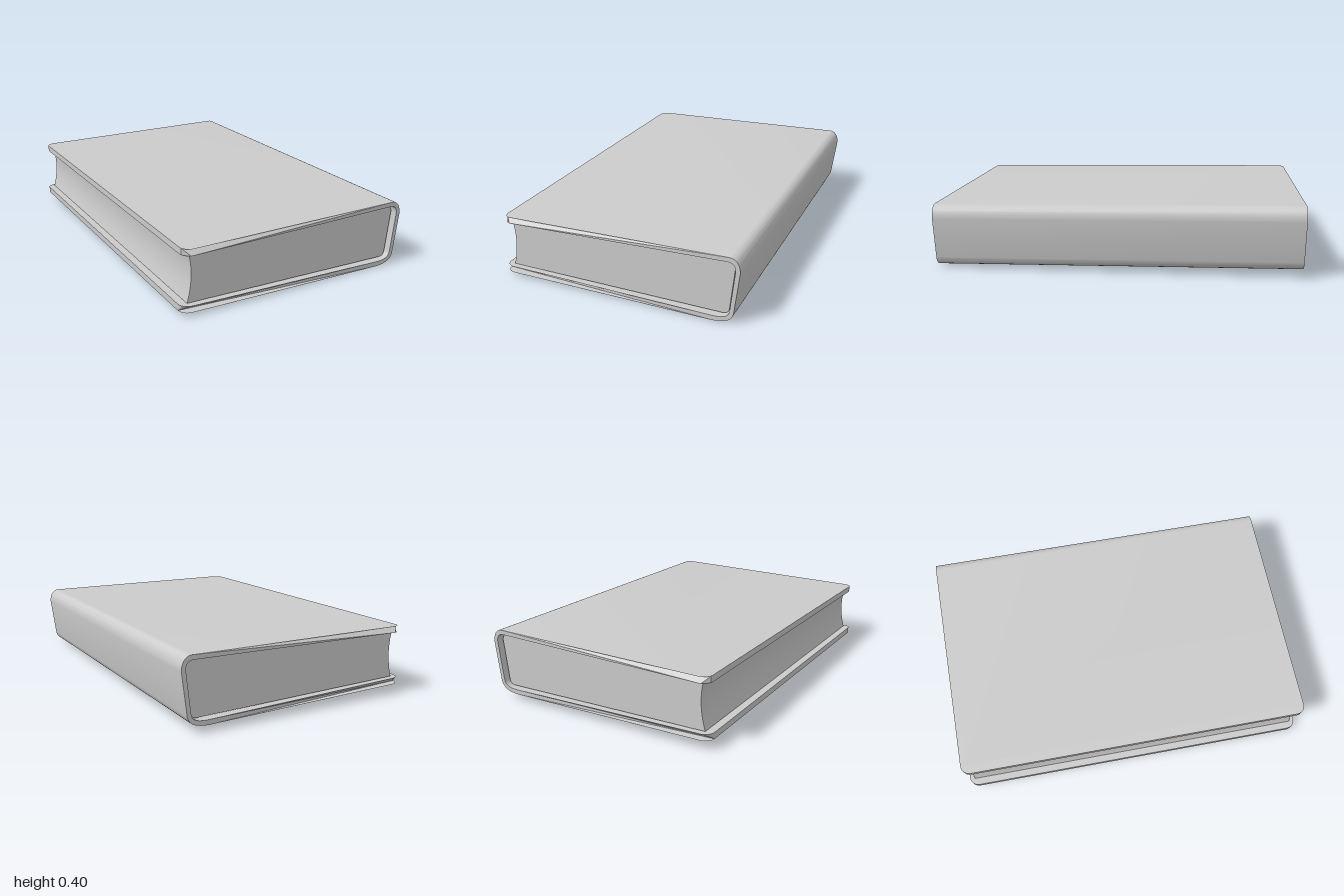
import * as THREE from 'three';
import { toCreasedNormals } from 'three/addons/utils/BufferGeometryUtils.js';

const material = new THREE.MeshStandardMaterial({ color: 0xcccccc, side: THREE.DoubleSide });
const CORNER = 0.05; // rounding of the boards' free corners, seen from above
const TOP_EDGE = -0.667;
const BOTTOM_EDGE = -0.68;

// Extrudes a profile along z, rounds its ends by a rule and leans it slightly back to front
function sweep(name, shape, halfLength, endInset) {
  const geometry = new THREE.ExtrudeGeometry(shape, {
    depth: 2, steps: 1, bevelEnabled: false, curveSegments: 12,
  });
  geometry.translate(0, 0, -1);
  const p = geometry.attributes.position;
  for (let i = 0; i < p.count; i++) {
    const x = p.getX(i), y = p.getY(i);
    const z = p.getZ(i) * (halfLength - endInset(x, y));
    p.setXYZ(i, x + 0.004 * (1 - z), y + 0.0175 * (1 - z), z);
  }
  const mesh = new THREE.Mesh(toCreasedNormals(geometry, 0.6), material);
  mesh.name = name;
  return mesh;
}

// Distances from a board's free edge where its corner arc is sampled
const arcSteps = [];
for (let i = 0; i <= 6; i++) arcSteps.push(CORNER * (1 - Math.cos((i / 6) * Math.PI / 2)));

// Straight board side from its free edge at (x0, y0) towards (x1, y1)
function boardPoints(x0, y0, x1, y1) {
  return arcSteps.map((d) => [x0 + d, y0 + (y1 - y0) * d / (x1 - x0)]);
}

const cornerInset = (x, y) => {
  const d = x - (y > 0.18 ? TOP_EDGE : BOTTOM_EDGE);
  if (d >= CORNER) return 0;
  return CORNER - Math.sqrt(Math.max(0, CORNER ** 2 - (CORNER - d) ** 2));
};

function coverShape() {
  const s = new THREE.Shape();
  const lineThrough = (points) => points.forEach(([x, y]) => s.lineTo(x, y));
  s.moveTo(BOTTOM_EDGE, 0.02);
  // outside: bottom board, spine, top board
  lineThrough(boardPoints(BOTTOM_EDGE, 0.02, 0.52, 0).slice(1));
  s.lineTo(0.52, 0);
  s.bezierCurveTo(0.585, 0.002, 0.63, 0.015, 0.638, 0.06);
  s.lineTo(0.667, 0.285);
  s.bezierCurveTo(0.667, 0.33, 0.645, 0.36, 0.61, 0.36);
  lineThrough(boardPoints(TOP_EDGE, 0.346, 0.61, 0.36).reverse());
  // inside: top board, spine, bottom board
  lineThrough(boardPoints(TOP_EDGE, 0.311, 0.6, 0.335));
  s.lineTo(0.6, 0.335);
  s.bezierCurveTo(0.63, 0.335, 0.645, 0.32, 0.643, 0.285);
  s.lineTo(0.617, 0.07);
  s.bezierCurveTo(0.612, 0.035, 0.58, 0.026, 0.52, 0.027);
  lineThrough(boardPoints(BOTTOM_EDGE, 0.055, 0.52, 0.027).reverse());
  return s;
}

function pagesShape() {
  const s = new THREE.Shape();
  s.moveTo(-0.64, 0.057);
  s.lineTo(0.57, 0.036);
  s.quadraticCurveTo(0.602, 0.036, 0.606, 0.065);
  s.lineTo(0.632, 0.29);
  s.quadraticCurveTo(0.632, 0.33, 0.59, 0.331);
  s.lineTo(-0.628, 0.309);
  s.quadraticCurveTo(-0.6, 0.19, -0.64, 0.057); // hollow fore edge
  return s;
}

export function createModel() {
  const book = new THREE.Group();
  book.name = 'book';
  book.add(sweep('cover', coverShape(), 1, cornerInset));
  book.add(sweep('pages', pagesShape(), 0.97, () => 0));
  return book;
}
